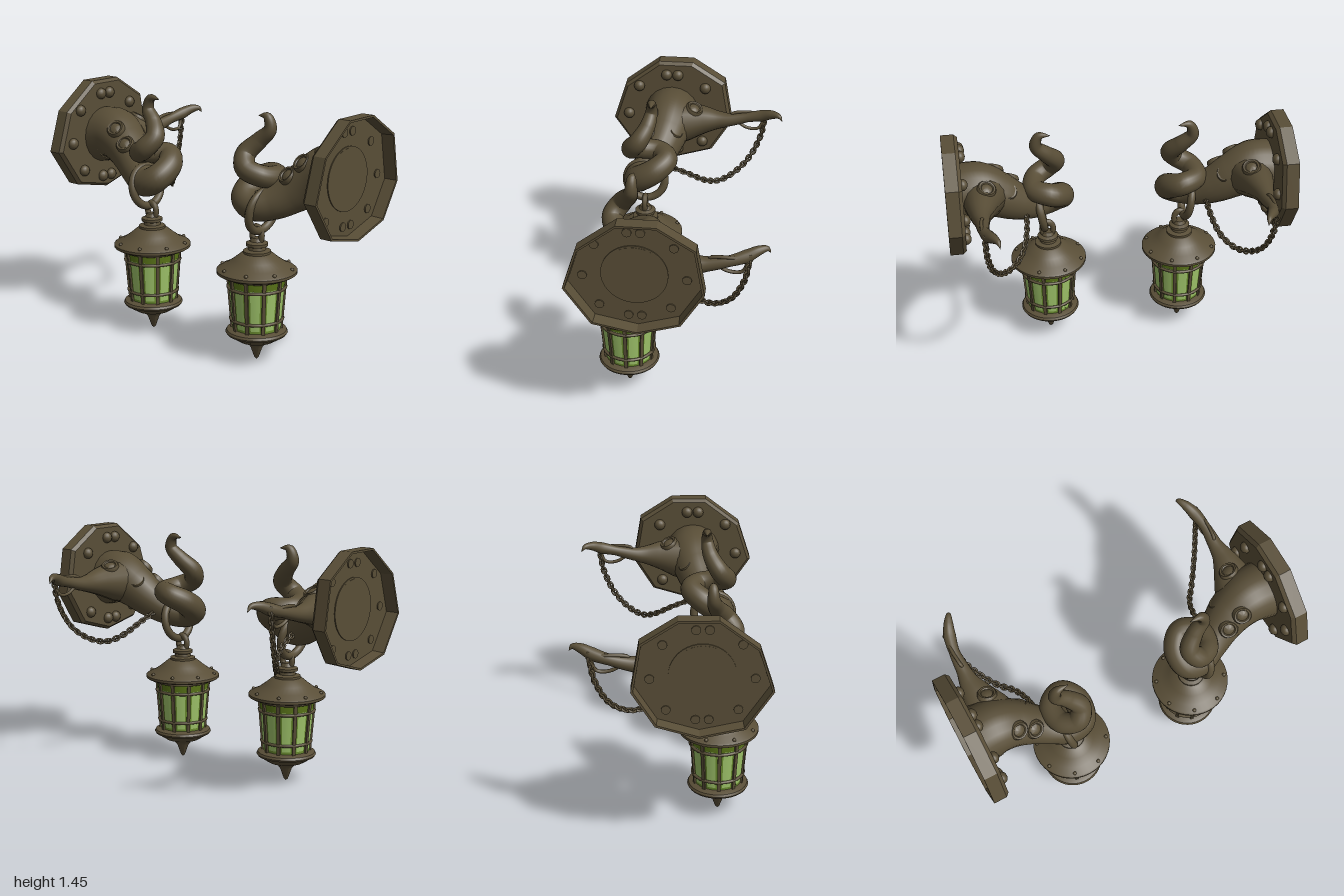
import * as THREE from 'three';
import { mergeGeometries, toCreasedNormals } from 'three/addons/utils/BufferGeometryUtils.js';

const V = (a) => new THREE.Vector3(...a);

// Revolved part, profile listed from bottom to top as [radius, height]
const lathe = (pts, seg = 32, start = 0, sweep = Math.PI * 2) => toCreasedNormals(
  new THREE.LatheGeometry(pts.map(([r, y]) => new THREE.Vector2(r, y)), seg, start, sweep), 0.6);

// Tube whose radius changes along the path; each point is [x, y, z, radius]
function taper(pts, seg, sides) {
  const curve = new THREE.CatmullRomCurve3(pts.map(([x, y, z]) => new THREE.Vector3(x, y, z)));
  const geo = new THREE.TubeGeometry(curve, seg, 1, sides);
  const pos = geo.attributes.position, v = new THREE.Vector3();
  for (let i = 0; i <= seg; i++) {
    const t = curve.getUtoTmapping(i / seg) * (pts.length - 1);
    const k = Math.min(Math.floor(t), pts.length - 2);
    const r = THREE.MathUtils.lerp(pts[k][3], pts[k + 1][3], t - k);
    const c = curve.getPointAt(i / seg);
    for (let j = 0; j <= sides; j++) {
      const n = i * (sides + 1) + j;
      v.fromBufferAttribute(pos, n).sub(c).multiplyScalar(r).add(c);
      pos.setXYZ(n, v.x, v.y, v.z);
    }
  }
  return geo;
}

// Mirrored copy across x = 0 with the corner order reversed
function mirrorX(geo) {
  const g = geo.index ? geo.toNonIndexed() : geo.clone();
  for (const name of ['position', 'normal']) {
    const a = g.attributes[name];
    for (let i = 0; i < a.count; i += 3) {
      const [p, q, r] = [0, 1, 2].map((k) => [-a.getX(i + k), a.getY(i + k), a.getZ(i + k)]);
      a.setXYZ(i, ...p);
      a.setXYZ(i + 1, ...r);
      a.setXYZ(i + 2, ...q);
    }
  }
  return g;
}

export function createModel() {
  const material = (name, color) => {
    const m = new THREE.MeshStandardMaterial({ color });
    m.name = name;
    return m;
  };
  const bronze = material('aged bronze', 0x594e37);
  const glass = material('light green glass', 0x9fc46a);
  const midGlass = material('green glass', 0x6c8e30);
  const darkGlass = material('dark green glass', 0x5a7418);

  const model = new THREE.Group();
  model.name = 'wallLanterns';
  const left = new THREE.Group(), right = new THREE.Group();
  left.name = 'leftLantern';
  right.name = 'rightLantern';
  model.add(left, right);
  const add = (name, geo, mat = bronze) => {
    for (const [group, g] of [[left, geo], [right, mirrorX(geo)]]) {
      const mesh = new THREE.Mesh(g, mat);
      mesh.name = name;
      group.add(mesh);
    }
  };

  // Nine-sided wall plate, hollow at the back: outline corners [z, y], profile [scale, x]
  const PY = 1.115, PZ = 0.163;
  const corners = [[0.148, 0.78], [-0.085, 0.85], [-0.21, 1.05], [-0.165, 1.32], [0.035, 1.45],
    [0.246, 1.45], [0.458, 1.288], [0.535, 1.05], [0.39, 0.832]];
  const profile = [[0, 0.905], [0.95, 0.905], [1, 0.925], [1, 1], [0.965, 1], [0.95, 0.927], [0, 0.927]];
  let plate = new THREE.LatheGeometry(profile.map(([r, x]) => new THREE.Vector2(r, x)), 9);
  for (let i = 0; i <= 9; i++) {
    const [z, y] = corners[i % 9];
    profile.forEach(([r, x], j) => plate.attributes.position.setXYZ(
      i * profile.length + j, x, PY + (y - PY) * r, PZ + (z - PZ) * r));
  }
  plate = plate.toNonIndexed();
  plate.computeVertexNormals();
  add('wallPlate', plate);
  add('plateBoss', new THREE.CylinderGeometry(0.178, 0.178, 0.012, 40)
    .rotateZ(Math.PI / 2).translate(0.927, PY, PZ));

  // Bolts round the plate, with their ends showing at the back
  const bolts = [], ends = [];
  for (const [z, y] of [[0.035, 1.37], [0.207, 1.288], [0.275, 1.095], [0.19, 0.915], [0.035, 0.857]])
    for (const s of [1, -1]) {
      bolts.push(new THREE.SphereGeometry(0.034, 14, 10).scale(0.85, 1, 1).translate(0.9, y, PZ + s * z));
      ends.push(new THREE.CylinderGeometry(0.025, 0.025, 0.012, 16)
        .rotateZ(Math.PI / 2).translate(0.928, y, PZ + s * z));
    }
  add('bolts', mergeGeometries(bolts));
  add('boltEnds', mergeGeometries(ends));

  // Main tentacle arm: thick root, one open coil, hooked tip
  add('tentacleArm', taper([
    [0.92, 1.115, 0.165, 0.17], [0.81, 1.125, 0.165, 0.16], [0.71, 1.075, 0.18, 0.137],
    [0.61, 1.0, 0.215, 0.115], [0.51, 0.935, 0.27, 0.095], [0.41, 0.912, 0.32, 0.084],
    [0.34, 0.945, 0.305, 0.08], [0.325, 1.01, 0.21, 0.075], [0.39, 1.055, 0.145, 0.068],
    [0.48, 1.065, 0.2, 0.063], [0.465, 1.085, 0.315, 0.061], [0.385, 1.125, 0.355, 0.061],
    [0.345, 1.19, 0.31, 0.058], [0.4, 1.265, 0.26, 0.048], [0.462, 1.335, 0.24, 0.037],
    [0.44, 1.4, 0.237, 0.026], [0.375, 1.4, 0.235, 0.001]], 150, 20));

  // Back tentacle that carries the chain, flaring into the arm
  add('backTentacle', taper([
    [0.77, 1.105, 0.17, 0.14], [0.79, 1.115, 0.06, 0.125], [0.805, 1.12, -0.04, 0.09],
    [0.812, 1.12, -0.13, 0.058], [0.81, 1.125, -0.2, 0.042], [0.808, 1.15, -0.32, 0.03],
    [0.79, 1.175, -0.41, 0.036], [0.765, 1.197, -0.47, 0.027], [0.742, 1.198, -0.515, 0.015],
    [0.735, 1.17, -0.535, 0.001]], 70, 16));

  // Suckers on the arm, each given a position and outward direction
  const sucker = lathe([[0, -0.03], [0.056, -0.03], [0.055, 0.002], [0.048, 0.014], [0.037, 0.012],
    [0.032, 0.005], [0.018, 0.012], [0, 0.014]], 20);
  const up = new THREE.Vector3(0, 1, 0);
  [[[0.705, 1.19, 0.272], [-0.24, 0.67, 0.7]], [[0.617, 1.11, 0.285], [-0.24, 0.67, 0.7]],
    [[0.765, 1.215, 0.01], [-0.25, 0.88, -0.4]], [[0.64, 1.125, 0.115], [-0.35, 0.7, -0.62]]].forEach(([p, n]) => {
    const q = new THREE.Quaternion().setFromUnitVectors(up, V(n).normalize());
    add('sucker', sucker.clone().applyQuaternion(q).translate(...p));
  });

  // Chain from the back tentacle to the arm
  const chainPath = new THREE.CatmullRomCurve3([
    [0.81, 1.17, -0.43], [0.8, 1.02, -0.4], [0.765, 0.88, -0.33], [0.705, 0.8, -0.235],
    [0.645, 0.78, -0.15], [0.585, 0.815, -0.07], [0.55, 0.875, 0.03], [0.535, 0.94, 0.18]].map(V));
  const links = [], count = Math.round(chainPath.getLength() / 0.026);
  for (let i = 0; i <= count; i++) {
    const q = new THREE.Quaternion().setFromUnitVectors(up, chainPath.getTangentAt(i / count));
    links.push(new THREE.TorusGeometry(0.0145, 0.006, 6, 12).scale(1, 1.4, 1)
      .rotateY(i % 2 * Math.PI / 2 + 0.5).applyQuaternion(q)
      .translate(...chainPath.getPointAt(i / count).toArray()));
  }
  add('chain', mergeGeometries(links));
  const strap = new THREE.CatmullRomCurve3([[0.81, 1.165, -0.22], [0.82, 1.18, -0.32],
    [0.81, 1.16, -0.41], [0.8, 1.085, -0.39], [0.8, 1.085, -0.31]].map(V), true);
  add('chainStrap', new THREE.TubeGeometry(strap, 40, 0.01, 8, true));

  // Ring round the arm and the small loop on the lantern
  const LX = 0.405, LZ = 0.28;
  add('hangingRing', new THREE.TorusGeometry(0.118, 0.024, 12, 40)
    .rotateY(Math.PI / 2).rotateZ(-0.17).translate(0.445, 0.88, LZ));
  add('lanternLoop', new THREE.TorusGeometry(0.034, 0.017, 10, 24)
    .scale(1, 1.3, 1).translate(LX, 0.735, LZ));

  // Lantern base with pointed finial, and roof with collars
  const addLamp = (name, geo, mat) => add(name, geo.translate(LX, 0, LZ), mat);
  addLamp('lanternBase', lathe([[0, 0], [0.012, 0.01], [0.035, 0.075], [0.055, 0.1], [0.105, 0.118],
    [0.14, 0.14], [0.155, 0.156], [0.17, 0.158], [0.177, 0.17], [0.17, 0.183], [0.14, 0.195], [0, 0.195]], 40));
  addLamp('lanternRoof', lathe([[0, 0.512], [0.215, 0.512], [0.228, 0.52], [0.228, 0.535], [0.218, 0.543],
    [0.175, 0.562], [0.13, 0.595], [0.09, 0.628], [0.078, 0.632], [0.078, 0.645], [0.05, 0.652],
    [0.047, 0.668], [0.062, 0.674], [0.062, 0.69], [0.04, 0.7], [0.03, 0.72], [0, 0.722]], 40));
  const studs = [];
  for (let i = 0; i < 8; i++)
    studs.push(new THREE.SphereGeometry(0.011, 10, 8).translate(0.205, 0.55, 0).rotateY((i + 0.5) * Math.PI / 4));
  addLamp('roofStuds', mergeGeometries(studs));

  // Flared glass: light pane centres, deeper green beside the bars, dark under the roof
  const BARS = 10, STEP = Math.PI * 2 / BARS;
  const radiusAt = (y) => 0.137 + 0.026 * (y - 0.19) / 0.32;
  const pane = (y0, y1, ...arc) => lathe([[radiusAt(y0), y0], [radiusAt(y1), y1]], ...arc);
  const centres = [], edges = [pane(0.19, 0.21, 40)];
  for (let i = 0; i < BARS; i++) {
    const bar = Math.PI / 2 + i * STEP;
    edges.push(pane(0.21, 0.45, 2, bar - STEP * 0.22, STEP * 0.44));
    centres.push(pane(0.21, 0.45, 3, bar + STEP * 0.22, STEP * 0.56));
  }
  addLamp('paneEdges', mergeGeometries(edges), midGlass);
  addLamp('paneCentres', mergeGeometries(centres), glass);
  addLamp('upperGlass', pane(0.45, 0.514, 40), darkGlass);

  // Cage of hoops and upright bars
  const cage = [];
  for (const y of [0.25, 0.438, 0.5])
    cage.push(new THREE.TorusGeometry(radiusAt(y) + 0.006, 0.009, 8, 40).rotateX(Math.PI / 2).translate(0, y, 0));
  for (let i = 0; i < BARS; i++)
    cage.push(new THREE.BoxGeometry(0.016, 0.33, 0.02).rotateZ(-0.081)
      .translate(radiusAt(0.35) + 0.002, 0.35, 0).rotateY(i * STEP));
  addLamp('cage', mergeGeometries(cage));

  return model;
}
